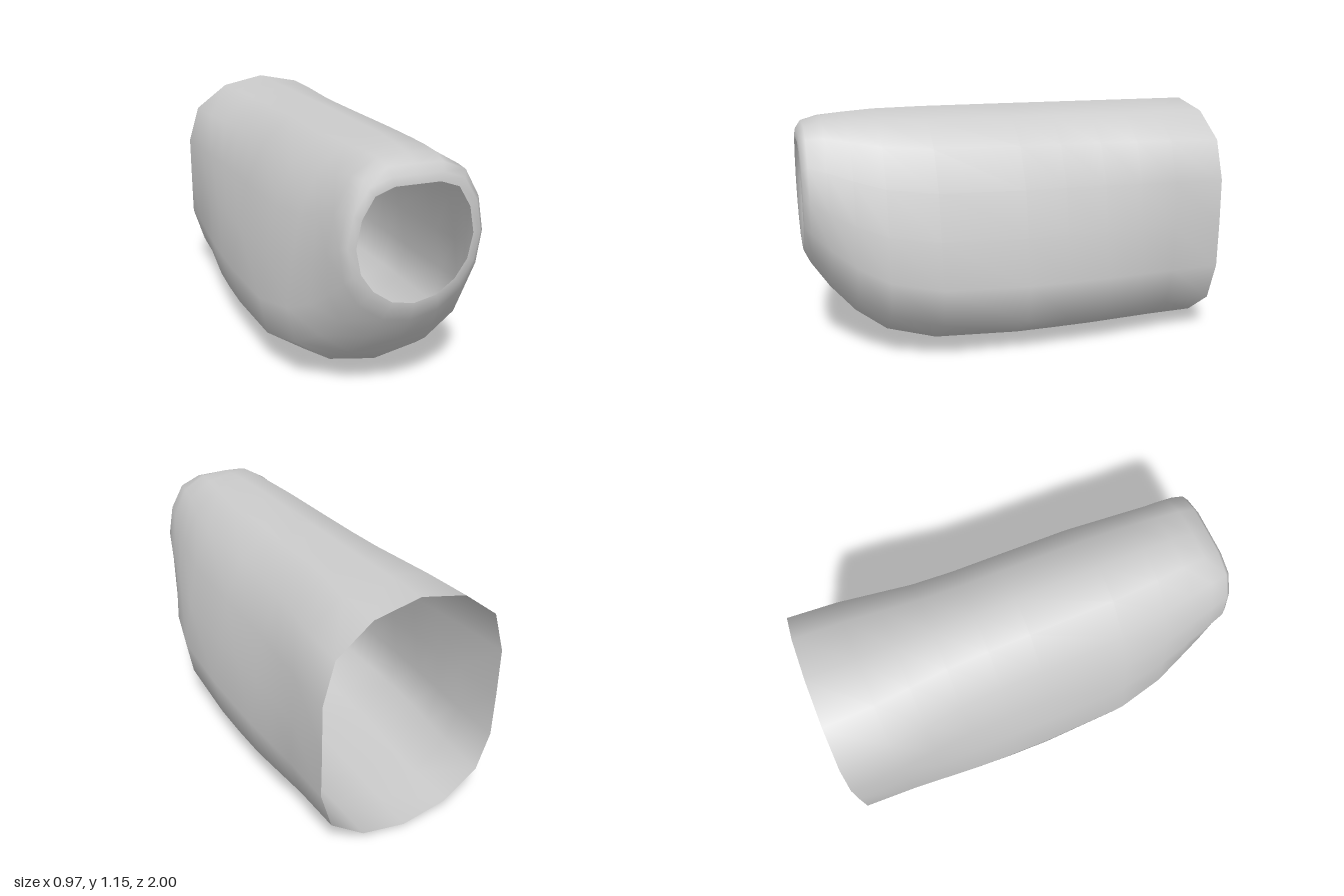
import * as THREE from 'three';

// Half sections from top centre to bottom centre, [x, y]
const BACK = [[0, 1.16], [0.22, 1.115], [0.388, 0.99], [0.445, 0.8], [0.445, 0.58], [0.445, 0.36], [0.388, 0.175], [0.22, 0.05], [0, 0.005]];
const MIDDLE = [[0, 1.16], [0.17, 1.115], [0.31, 0.99], [0.4, 0.8], [0.442, 0.58], [0.485, 0.36], [0.452, 0.175], [0.262, 0.05], [0, 0.005]];
const MOUTH = [[0, 1.025], [0.1, 1.025], [0.185, 0.995], [0.24, 0.905], [0.262, 0.79], [0.24, 0.68], [0.185, 0.6], [0.1, 0.54], [0, 0.52]];

// Scale a half section to half width 1 and height 0..1
function normalise(section) {
  const w = Math.max(...section.map((p) => p[0]));
  const top = section[0][1], bottom = section[8][1];
  return section.map(([x, y]) => [x / w, (y - bottom) / (top - bottom)]);
}

const blend = (a, b, t) => a.map((p, i) => [p[0] + (b[i][0] - p[0]) * t, p[1] + (b[i][1] - p[1]) * t]);

function shellRings() {
  const rings = [];
  // Straight rear part: bulges from the back section to the middle one
  for (const [z, t] of [[-0.985, 0], [-0.75, 0.2], [-0.58, 0.5], [-0.4, 0.82], [-0.2, 0.96], [0, 1]]) {
    rings.push({ z, half: blend(BACK, MIDDLE, t) });
  }
  // Nose: z, half width, bottom, top, mix towards the round mouth
  const middle = normalise(MIDDLE), mouth = normalise(MOUTH);
  const nose = [
    [0.41, 0.475, 0.025, 1.159, 0.02],
    [0.64, 0.43, 0.085, 1.155, 0.15],
    [0.78, 0.385, 0.185, 1.145, 0.4],
    [0.89, 0.352, 0.31, 1.13, 0.65],
    [0.97, 0.325, 0.43, 1.1, 0.9],
    [0.996, 0.298, 0.487, 1.062, 1],
    [1, 0.262, 0.52, 1.025, 1],
  ];
  for (const [z, w, bottom, top, mix] of nose) {
    const half = blend(middle, mouth, mix).map(([x, y]) => [x * w, bottom + y * (top - bottom)]);
    rings.push({ z, half });
  }
  return rings;
}

function loft(rings) {
  const position = [], index = [], n = 16;
  rings.forEach(({ z, half }, j) => {
    for (let i = 0; i < n; i++) {
      // The second half of each ring mirrors the first
      const [x, y] = half[i <= 8 ? i : n - i];
      // The rear edge bows slightly backwards at the sides
      const bow = j === 0 ? 0.015 * Math.sin(Math.PI * Math.min(1, y / 1.16)) : 0;
      position.push(i <= 8 ? x : -x, y, z - bow);
      if (j === rings.length - 1) continue;
      const a = j * n + i, b = j * n + ((i + 1) % n), c = a + n, d = b + n;
      index.push(a, c, b, b, c, d);
    }
  });
  const geometry = new THREE.BufferGeometry();
  geometry.setAttribute('position', new THREE.Float32BufferAttribute(position, 3));
  geometry.setIndex(index);
  geometry.computeVertexNormals();
  return geometry;
}

export function createModel() {
  const model = new THREE.Group();
  model.name = 'openSleeve';
  const material = new THREE.MeshStandardMaterial({ color: 0xcccccc, side: THREE.DoubleSide });

  // Thin shell, open at the back and at the round mouth
  const shell = new THREE.Mesh(loft(shellRings()), material);
  shell.name = 'shell';
  model.add(shell);
  return model;
}
